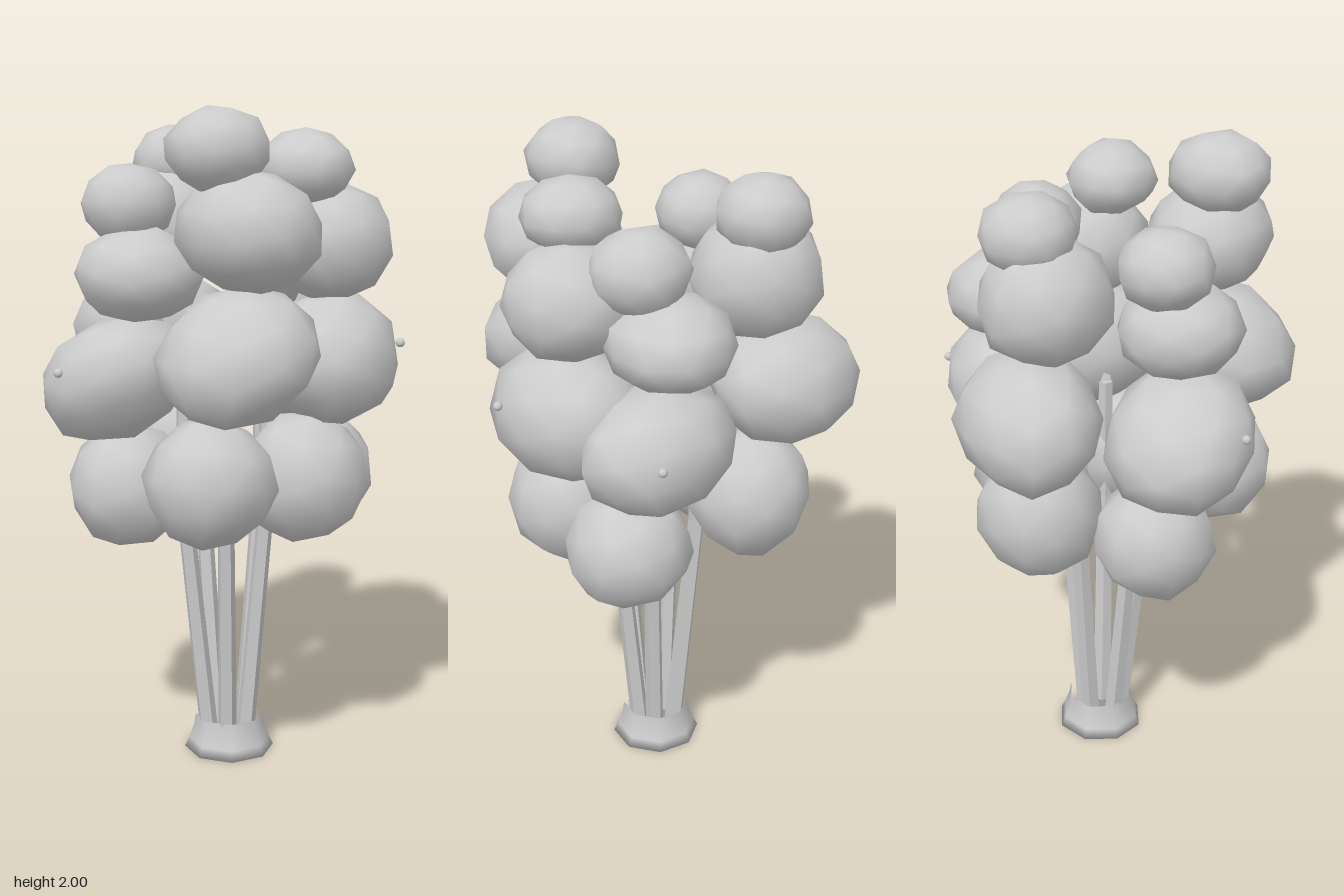
import * as THREE from 'three';
import { mergeVertices } from 'three/addons/utils/BufferGeometryUtils.js';

const grey = new THREE.MeshStandardMaterial({ color: 0xcccccc });
grey.name = 'plain grey';

// Small seeded generator, 0 to 1
function seeded(seed) {
  let s = seed * 7919 + 17;
  return () => {
    s = (s * 16807) % 2147483647;
    return s / 2147483647;
  };
}

// Lumpy low-poly ball, sheared by [x per y, z per y, x per z] and fitted to the half-sizes
function lumpGeometry(seed, [rx, ry, rz], [xy, zy, xz]) {
  const rand = seeded(seed);
  for (let i = 0; i < 5; i++) rand();
  let g = new THREE.IcosahedronGeometry(1, 1);
  g.deleteAttribute('uv');
  g.deleteAttribute('normal');
  g = mergeVertices(g, 1e-4);
  g.rotateX(rand() * 6).rotateY(rand() * 6);
  const p = g.attributes.position;
  const v = new THREE.Vector3();
  for (let i = 0; i < p.count; i++) {
    v.fromBufferAttribute(p, i).multiplyScalar(0.96 + 0.08 * rand());
    p.setXYZ(i, v.x + xy * v.y + xz * v.z, v.y, v.z + zy * v.y);
  }
  g.center();
  g.computeBoundingBox();
  const b = g.boundingBox.max;
  g.scale(rx / b.x, ry / b.y, rz / b.z);
  g.computeVertexNormals();
  return g;
}

function add(group, name, geometry, position = [0, 0, 0]) {
  const mesh = new THREE.Mesh(geometry, grey);
  mesh.name = name;
  mesh.position.set(...position);
  group.add(mesh);
  return mesh;
}

// Five-sided rod between two points
function rod(group, name, from, to, r0, r1) {
  const a = new THREE.Vector3(...from);
  const b = new THREE.Vector3(...to);
  const dir = b.clone().sub(a);
  const g = new THREE.CylinderGeometry(r1, r0, dir.length(), 5).toNonIndexed();
  g.computeVertexNormals();
  const mesh = add(group, name, g);
  mesh.position.copy(a).add(b).multiplyScalar(0.5);
  mesh.quaternion.setFromUnitVectors(new THREE.Vector3(0, 1, 0), dir.normalize());
}

// Five columns of foliage: each lump is [centre, half-sizes, shear], top to bottom
const columns = [
  { name: 'right', stem: [-0.07, -0.02], lumps: [
    [[-0.24, 1.815, -0.10], [0.135, 0.115, 0.14]],
    [[-0.23, 1.625, -0.05], [0.20, 0.18, 0.19]],
    [[-0.33, 1.295, -0.07], [0.23, 0.20, 0.22], [0.1, 0, -0.25]],
    [[-0.22, 0.935, -0.09], [0.19, 0.20, 0.19]]] },
  { name: 'back', stem: [0.08, -0.12], lumps: [
    [[0.12, 1.71, -0.235], [0.15, 0.125, 0.14]],
    [[0.045, 1.515, -0.285], [0.19, 0.14, 0.195]],
    [[0.08, 1.21, -0.315], [0.225, 0.19, 0.225], [0, 0, -0.25]],
    [[0.16, 0.87, -0.265], [0.19, 0.185, 0.195]]] },
  { name: 'left', stem: [0.18, -0.03], lumps: [
    [[0.295, 1.82, -0.055], [0.145, 0.115, 0.135]],
    [[0.305, 1.605, -0.15], [0.20, 0.168, 0.195]],
    [[0.33, 1.26, -0.15], [0.22, 0.195, 0.23], [0, 0, 0.2]],
    [[0.325, 0.92, -0.04], [0.185, 0.19, 0.19]]] },
  { name: 'front left', stem: [0.15, 0.12], lumps: [
    [[0.27, 1.88, 0.285], [0.14, 0.12, 0.15]],
    [[0.33, 1.66, 0.235], [0.21, 0.175, 0.19]],
    [[0.335, 1.32, 0.285], [0.22, 0.195, 0.23], [0, -0.25, 0]],
    [[0.25, 0.95, 0.295], [0.185, 0.19, 0.195]]] },
  { name: 'front right', stem: [-0.01, 0.13], lumps: [
    [[-0.11, 1.715, 0.255], [0.135, 0.115, 0.135]],
    [[-0.05, 1.52, 0.285], [0.18, 0.135, 0.185]],
    [[-0.11, 1.205, 0.31], [0.235, 0.195, 0.22], [0.3, 0, 0]],
    [[-0.13, 0.87, 0.245], [0.185, 0.18, 0.185]]] },
];

// Branch tips poking through the foliage
const tips = [[-0.14, 1.25, 0.515], [0.525, 1.32, -0.22], [0.09, 1.24, -0.525]];

export function createModel() {
  const model = new THREE.Group();
  model.name = 'tree';
  const [cx, cz] = [0.06, 0];

  // Flared foot, open at the top, with a recessed underside
  const profile = [[0.105, 0.03], [0.14, 0], [0.126, 0.03], [0.112, 0.07], [0.105, 0.11]];
  add(model, 'foot', new THREE.LatheGeometry(profile.map(([x, y]) => new THREE.Vector2(x, y)), 8), [cx, 0, cz]);
  add(model, 'footUnderside', new THREE.CircleGeometry(0.105, 8).rotateX(Math.PI / 2).rotateY(Math.PI / 8 * 2), [cx, 0.03, cz]);

  columns.forEach(({ name, stem: [sx, sz], lumps }, c) => {
    const column = new THREE.Group();
    column.name = name + ' column';
    model.add(column);

    // Leaning stem with a straight upper end
    const foot = [cx + (sx - cx) * 0.45, 0.04, cz + (sz - cz) * 0.45];
    const knee = [sx, 0.8, sz];
    const crown = [sx, 1.2, sz];
    rod(column, 'stem', foot, knee, 0.03, 0.026);
    rod(column, 'upperStem', knee, crown, 0.026, 0.022);

    lumps.forEach(([centre, size, shear = [0, 0, 0]], i) => {
      add(column, 'foliage', lumpGeometry(c * 4 + i + 1, size, shear), centre);
    });

    // Side branches into the two middle lumps
    for (const [centre] of lumps.slice(1, 3)) rod(column, 'branch', crown, centre, 0.018, 0.014);
  });

  tips.forEach((p) => add(model, 'branchTip', new THREE.IcosahedronGeometry(0.014, 1), p));
  return model;
}
